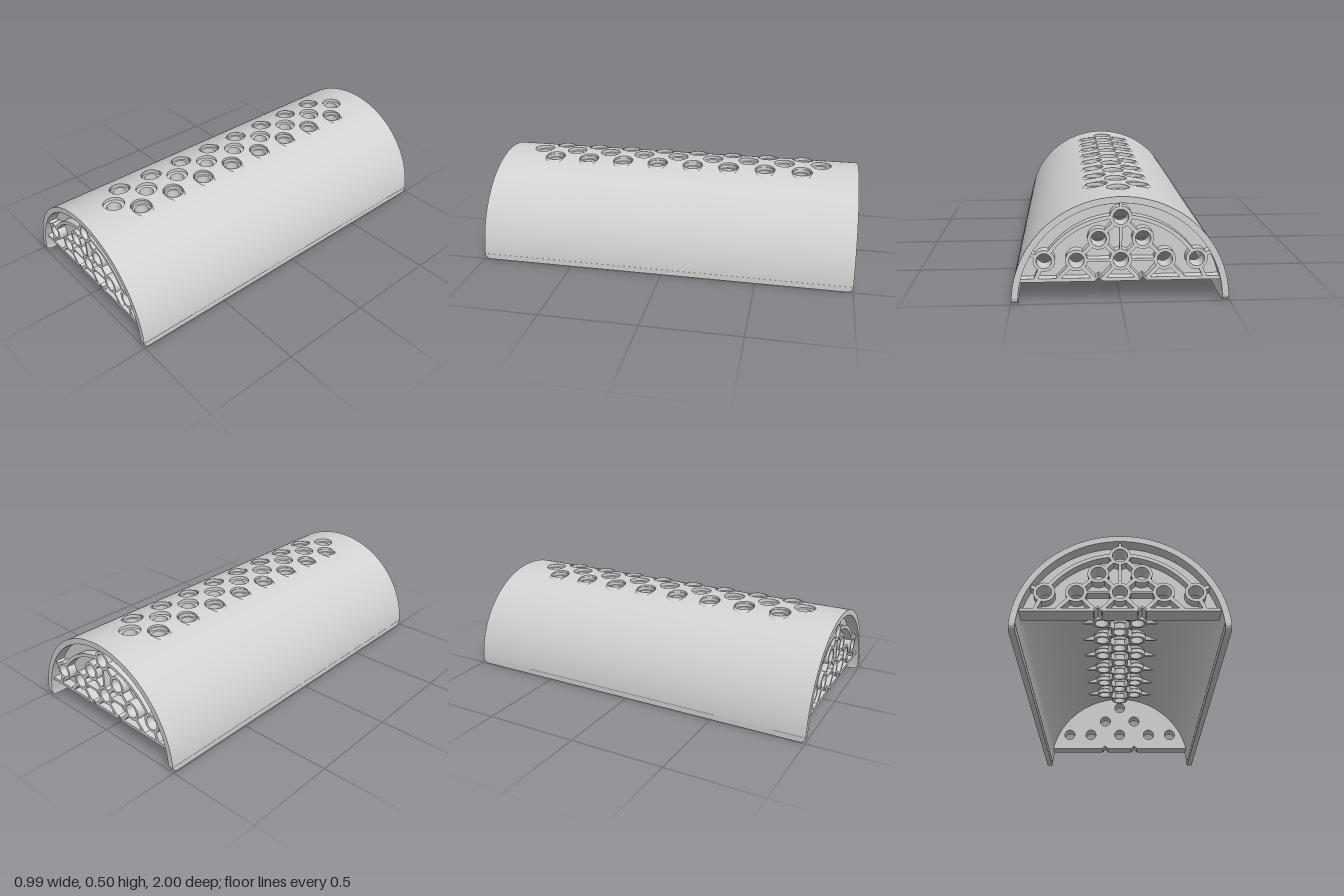
import * as THREE from 'three';
import { toCreasedNormals } from 'three/addons/utils/BufferGeometryUtils.js';

const grey = new THREE.MeshStandardMaterial({ color: 0xd2d2d2 });
grey.name = 'lightGrey';

const RO = 0.497, RI = 0.467;   // shell radii
const STRIP = 0.2;              // half width of the perforated crown strip
const FOOT = 0.03;              // height of the rounded shell foot
const HOLE = 0.035, BOSS = 0.05;
const WALL_Z = 0.9, WALL_DEPTH = 0.085, WALL_MID = WALL_Z + WALL_DEPTH / 2;

function part(parent, name, geometry, x = 0, y = 0, z = 0) {
  const mesh = new THREE.Mesh(geometry, grey);
  mesh.name = name;
  mesh.position.set(x, y, z);
  parent.add(mesh);
  return mesh;
}

function extrude(shape, depth, curveSegments = 24) {
  const g = new THREE.ExtrudeGeometry(shape, { depth, bevelEnabled: false, curveSegments });
  return toCreasedNormals(g, 0.5);
}

// Three staggered rows of holes along the crown
function isHole(i, j) {
  return (i + j) % 2 === 0 && ((i === 0 && Math.abs(j) <= 8) || (Math.abs(i) === 1 && Math.abs(j) <= 7));
}

// Crown of the shell: diamond tiles, each with a round hole, bent onto the arc
function crownGeometry() {
  const pos = [], nor = [], N = 32, RINGS = 3;
  const clamp = THREE.MathUtils.clamp;
  const push = (p, n) => { pos.push(p.x, p.y, p.z); nor.push(n.x, n.y, n.z); };
  const quad = (pts, nrm) => [0, 1, 2, 0, 2, 3].forEach(k => push(pts[k], nrm[k]));
  for (let i = -2; i <= 2; i++) for (let j = -10; j <= 10; j++) {
    if ((i + j) % 2) continue;
    const hole = isHole(i, j) ? 0.055 : 0;
    const at = (k, t, R) => {
      const a = (k / N) * Math.PI * 2, c = Math.cos(a), s = Math.sin(a);
      const r = THREE.MathUtils.lerp(hole, 0.1 / (Math.abs(c) + Math.abs(s)), t);
      const x = clamp(i * 0.1 + r * c, -STRIP, STRIP), z = clamp(j * 0.1 + r * s, -1, 1);
      return new THREE.Vector3(x, Math.sqrt(R * R - x * x), z);
    };
    const radial = (p, sign) => new THREE.Vector3(p.x, p.y, 0).normalize().multiplyScalar(sign);
    for (let k = 0; k < N; k++) {
      for (let m = 0; m < RINGS; m++) {
        const t0 = m / RINGS, t1 = (m + 1) / RINGS;
        const top = [at(k, t0, RO), at(k + 1, t0, RO), at(k + 1, t1, RO), at(k, t1, RO)];
        const low = [at(k, t0, RI), at(k, t1, RI), at(k + 1, t1, RI), at(k + 1, t0, RI)];
        quad(top, top.map(p => radial(p, 1)));
        quad(low, low.map(p => radial(p, -1)));
      }
      if (hole) {
        const w = [at(k, 0, RO), at(k, 0, RI), at(k + 1, 0, RI), at(k + 1, 0, RO)];
        quad(w, w.map(p => new THREE.Vector3(i * 0.1 - p.x, 0, j * 0.1 - p.z).normalize()));
      }
    }
  }
  const g = new THREE.BufferGeometry();
  g.setAttribute('position', new THREE.Float32BufferAttribute(pos, 3));
  g.setAttribute('normal', new THREE.Float32BufferAttribute(nor, 3));
  return g;
}

// Curved side of the shell, from the foot up to the crown
function sideGeometry(left) {
  const ao = Math.acos(STRIP / RO), ai = Math.acos(STRIP / RI);
  const bo = Math.asin(FOOT / RO), bi = Math.asin(FOOT / RI);
  const s = new THREE.Shape();
  if (left) {
    s.absarc(0, 0, RO, bo, ao, false);
    s.absarc(0, 0, RI, ai, bi, true);
  } else {
    s.absarc(0, 0, RO, Math.PI - ao, Math.PI - bo, false);
    s.absarc(0, 0, RI, Math.PI - bi, Math.PI - ai, true);
  }
  return extrude(s, 2).translate(0, 0, -1);
}

// Foot of the shell, with rounded lower corners at both ends
function footGeometry() {
  const s = new THREE.Shape();
  s.moveTo(-1, FOOT);
  s.absarc(-1 + FOOT, FOOT, FOOT, Math.PI, Math.PI * 1.5, false);
  s.absarc(1 - FOOT, FOOT, FOOT, Math.PI * 1.5, Math.PI * 2, false);
  return extrude(s, RO - RI, 8).translate(0, 0, (RI - RO) / 2).rotateY(-Math.PI / 2);
}

function lathe(points) {
  const g = new THREE.LatheGeometry(points.map(([r, y]) => new THREE.Vector2(r, y)), 24);
  return toCreasedNormals(g, 0.5);
}

// Straight rib in the end wall, trimmed at each end where it meets a boss
function rib(parent, x1, y1, x2, y2, trim1, trim2, w = 0.018) {
  const len = Math.hypot(x2 - x1, y2 - y1), L = len - trim1 - trim2;
  const mid = (trim1 + L / 2) / len;
  const m = part(parent, 'wallRib', new THREE.BoxGeometry(L, w, WALL_DEPTH),
    x1 + (x2 - x1) * mid, y1 + (y2 - y1) * mid, WALL_MID);
  m.rotation.z = Math.atan2(y2 - y1, x2 - x1);
}

function createEndWall() {
  const wall = new THREE.Group();
  const holes = [[0, 0.4], [0, 0.2]];
  for (const s of [-1, 1]) holes.push([s * 0.1, 0.3], [s * 0.2, 0.2], [s * 0.346, 0.2]);

  // Perforated plate with two notches in its lower edge
  const R = 0.475, a = Math.asin(0.1 / R);
  const plate = new THREE.Shape();
  plate.moveTo(-R * Math.cos(a), 0.1);
  for (const x of [-0.1, 0.1]) {
    plate.lineTo(x - 0.02, 0.1);
    plate.lineTo(x, 0.12);
    plate.lineTo(x + 0.02, 0.1);
  }
  plate.absarc(0, 0, R, a, Math.PI - a, false);
  for (const [x, y] of holes) plate.holes.push(new THREE.Path().absarc(x, y, HOLE, 0, Math.PI * 2, true));
  part(wall, 'wallPlate', extrude(plate, 0.04), 0, 0, WALL_Z);

  // Bosses around the holes
  const ring = new THREE.Shape().absarc(0, 0, BOSS, 0, Math.PI * 2, false);
  ring.holes.push(new THREE.Path().absarc(0, 0, HOLE, 0, Math.PI * 2, true));
  const ringGeometry = extrude(ring, WALL_DEPTH, 12);
  for (const [x, y] of holes) part(wall, 'wallBoss', ringGeometry, x, y, WALL_Z);

  // Bottom flange between the notches, and the ribs
  part(wall, 'wallFlange', new THREE.BoxGeometry(0.16, 0.016, WALL_DEPTH), 0, 0.108, WALL_MID);
  const t = 0.043;
  rib(wall, 0, 0.4, 0, 0.2, t, t, 0.012);
  rib(wall, 0, 0.4, 0, 0.47, t, 0, 0.012);
  for (const s of [-1, 1]) {
    part(wall, 'wallFlange', new THREE.BoxGeometry(0.345, 0.016, WALL_DEPTH), s * 0.2925, 0.108, WALL_MID);
    rib(wall, 0, 0.4, s * 0.1, 0.3, t, t);
    rib(wall, s * 0.1, 0.3, s * 0.2, 0.2, t, t);
    rib(wall, s * 0.1, 0.3, 0, 0.2, t, t);
    rib(wall, 0, 0.2, s * 0.2, 0.2, t, t, 0.012);
    rib(wall, 0, 0.2, s * 0.08, 0.112, t, 0);
    rib(wall, s * 0.2, 0.2, s * 0.12, 0.112, t, 0);
    rib(wall, s * 0.2, 0.2, s * 0.285, 0.112, t, 0);
    rib(wall, s * 0.346, 0.2, s * 0.385, 0.112, t, 0);
    rib(wall, s * 0.346, 0.2, s * 0.415, 0.235, t, 0);
    rib(wall, s * 0.08, 0.104, s * 0.1, 0.126, 0, 0, 0.008);
    rib(wall, s * 0.12, 0.104, s * 0.1, 0.126, 0, 0, 0.008);
    // Arched rib linking the outer boss to the top boss
    const a0 = s > 0 ? 0.64 : Math.PI / 2 + 0.11, a1 = s > 0 ? Math.PI / 2 - 0.11 : Math.PI - 0.64;
    const arch = new THREE.Shape();
    arch.absarc(0, 0, 0.41, a0, a1, false);
    arch.absarc(0, 0, 0.392, a1, a0, true);
    part(wall, 'archedRib', extrude(arch, WALL_DEPTH), 0, 0, WALL_Z);
  }
  return wall;
}

export function createModel() {
  const model = new THREE.Group();
  model.name = 'perforatedHalfCylinder';

  // Shell
  part(model, 'shellCrown', crownGeometry());
  part(model, 'shellLeftSide', sideGeometry(true));
  part(model, 'shellRightSide', sideGeometry(false));
  const foot = footGeometry();
  for (const s of [-1, 1]) part(model, 'shellFoot', foot, s * (RO + RI) / 2);
  const a = Math.acos(STRIP / RI);
  const edge = new THREE.RingGeometry(RI, RO, 24, 1, a, Math.PI - 2 * a);
  part(model, 'frontEdge', edge, 0, 0, 1);
  part(model, 'backEdge', edge, 0, 0, -1).rotation.y = Math.PI;

  // Hole sockets and the ribs beneath the crown
  const centreSocket = lathe([[0.05, 0.415], [0.05, 0.45], [0.057, 0.45], [0.057, 0.478],
    [0.037, 0.478], [0.037, 0.415], [0.05, 0.415]]);
  const sideSocket = lathe([[0.05, 0.415], [0.05, 0.44], [0.056, 0.44], [0.056, 0.46], [0.067, 0.46],
    [0.067, 0.468], [0.052, 0.485], [0.048, 0.485], [0.048, 0.468], [0.037, 0.468],
    [0.037, 0.415], [0.05, 0.415]]);
  const diagonal = new THREE.BoxGeometry(0.055, 0.045, 0.016);
  const spike = new THREE.BoxGeometry(0.07, 0.025, 0.014);
  for (let j = -8; j <= 8; j++) {
    if (isHole(0, j)) part(model, 'centreSocket', centreSocket, 0, 0, j * 0.1);
    for (const s of [-1, 1]) {
      if (!isHole(s, j)) continue;
      part(model, 'sideSocket', sideSocket, s * 0.1, 0, j * 0.1);
      part(model, 'outerRib', spike, s * 0.18, 0.4275, j * 0.1);
      for (const d of [-1, 1]) {
        part(model, 'diagonalRib', diagonal, s * 0.05, 0.4375, (j + d * 0.5) * 0.1)
          .rotation.y = s * d * Math.PI / 4;
      }
    }
  }

  // End walls
  const front = createEndWall();
  front.name = 'frontWall';
  const back = createEndWall();
  back.name = 'backWall';
  back.rotation.y = Math.PI;
  model.add(front, back);
  return model;
}
